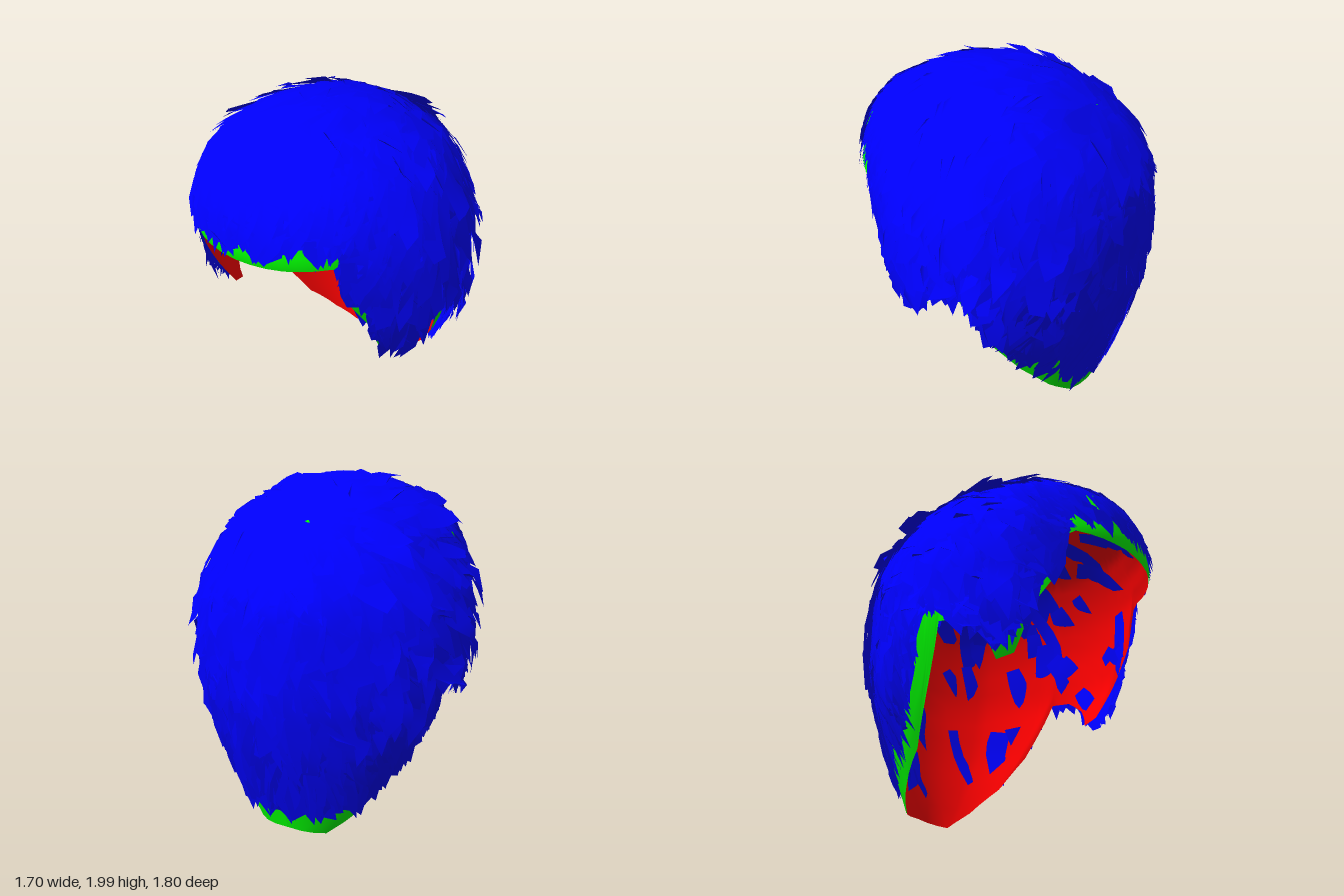
import * as THREE from 'three';

// Head cross-sections: height, half width, centre z, half depth
const ROWS = [
  [0, .27, -.40, .20], [.1, .36, -.35, .27], [.25, .45, -.26, .41], [.5, .59, -.13, .61],
  [.7, .66, -.06, .72], [.9, .72, -.02, .80], [1.2, .73, .01, .83], [1.4, .70, .04, .85],
  [1.55, .65, .07, .80], [1.7, .58, .09, .71], [1.77, .51, .10, .64], [1.82, .45, .10, .54],
  [1.9, .30, .07, .37], [1.94, .14, .04, .18], [1.955, .001, .03, .001],
];
// Hairline: degrees from the front, height
const HAIRLINE = [
  [0, 1.35], [22, 1.355], [42, 1.37], [45, 1.34], [46, 1.1], [54, .92], [57, .68], [64, .65],
  [73, .78], [83, .87], [91, .88], [95, .5], [98, .28], [112, .12], [130, .01], [180, .03],
];
const ROUND = 2.1; // superellipse exponent of the sections
const TOP = ROWS[ROWS.length - 1][0];
const CENTRE = new THREE.Vector3(0, 1.15, 0);
const CROWN = new THREE.Vector3(-.08, 1.78, -.46);
const DOWN = new THREE.Vector3(0, -1, 0);
const { lerp, clamp, smoothstep, degToRad, radToDeg } = THREE.MathUtils;

let seed = 7;
const rand = (a = 0, b = 1) => {
  seed = (seed * 1664525 + 1013904223) % 4294967296;
  return a + (b - a) * seed / 4294967296;
};
const signedPow = (v, e) => Math.sign(v) * Math.abs(v) ** e;

// Linear lookup in a table sorted by its first column
function lookup(table, x) {
  let i = 0;
  while (i < table.length - 2 && x > table[i + 1][0]) i++;
  const t = clamp((x - table[i][0]) / (table[i + 1][0] - table[i][0]), 0, 1);
  return table[i].map((v, k) => lerp(v, table[i + 1][k], t));
}
const hairlineAt = (deg) => lookup(HAIRLINE, Math.abs(deg))[1];

// Lowest height for hair: close over the ears, clear of the slanted edges beside them
function hairFloor(p) {
  const [, w, zc, d] = lookup(ROWS, p.y), e = ROUND / 2;
  const deg = Math.abs(radToDeg(Math.atan2(signedPow(p.x / w, e), signedPow((p.z - zc) / d, e))));
  if (deg > 91) return Math.max(hairlineAt(deg - Math.min(deg - 91, 6)), hairlineAt(deg) + .08);
  return hairlineAt(deg) - (deg > 66 ? .04 : 0);
}

// Pushes a point along its ray from the centre onto the head surface
function snap(p) {
  const dir = p.clone().sub(CENTRE).normalize();
  const q = new THREE.Vector3();
  let lo = 0, hi = 1.6;
  for (let i = 0; i < 22; i++) {
    const mid = (lo + hi) / 2;
    q.copy(CENTRE).addScaledVector(dir, mid);
    const [, w, zc, d] = lookup(ROWS, q.y);
    if (q.y < TOP && Math.abs(q.x / w) ** ROUND + Math.abs((q.z - zc) / d) ** ROUND < 1) lo = mid;
    else hi = mid;
  }
  return q;
}

function geometryFrom(pos, index) {
  const g = new THREE.BufferGeometry();
  g.setAttribute('position', new THREE.Float32BufferAttribute(pos, 3));
  g.setIndex(index);
  g.computeVertexNormals();
  return g;
}

// Cap shell from the hairline to the top of the head
function shell(inset, inward) {
  const half = [];
  for (let i = 0; i < HAIRLINE.length - 1; i++)
    for (let k = 0; k < 3; k++) half.push(lerp(HAIRLINE[i][0], HAIRLINE[i + 1][0], k / 3));
  const angles = [-180, ...half.slice(1).reverse().map((a) => -a), ...half, 180];
  const N = 24, pos = [], index = [];
  angles.forEach((deg, i) => {
    const a = degToRad(deg), y0 = hairlineAt(deg);
    const sx = signedPow(Math.sin(a), 2 / ROUND), cz = signedPow(Math.cos(a), 2 / ROUND);
    for (let j = 0; j <= N; j++) {
      // rows crowd towards the top, where the surface flattens
      const y = y0 + (TOP - y0) * Math.sin(j / N * Math.PI / 2);
      const [, w, zc, d] = lookup(ROWS, y);
      const s = inset * Math.min(1, j / 2 + .15);
      pos.push(Math.max(w - s, 0) * sx, y - s * j / N, zc + Math.max(d - s, 0) * cz);
      if (i && j) {
        const p = (i - 1) * (N + 1) + j - 1, q = p + N + 1;
        if (inward) index.push(p, q + 1, q, p, p + 1, q + 1);
        else index.push(p, q, q + 1, p, q + 1, p + 1);
      }
    }
  });
  return geometryFrom(pos, index);
}

// Follows the hair flow away from the crown, stopping above the hairline
function strand(start, steps, step, margin, twist) {
  const pts = [start];
  for (let i = 0; i < steps; i++) {
    const p = pts[i], n = p.clone().sub(CENTRE).normalize();
    const dir = p.clone().sub(CROWN).normalize();
    const fall = clamp((1.8 - p.y) * 1.2, 0, .9);
    dir.addScaledVector(DOWN, fall).projectOnPlane(n).normalize().applyAxisAngle(n, twist);
    const q = snap(p.clone().addScaledVector(dir, step));
    if (q.y < hairFloor(q) + margin) break;
    pts.push(q);
  }
  return pts;
}

function hairCards(count, crownCount) {
  const pos = [], index = [];
  for (let c = -crownCount; c < count; c++) {
    // even spiral of roots, after a ring around the crown
    const y = 1 - 2 * (c + .5) / count, a = c * 2.39996, r = Math.sqrt(Math.max(0, 1 - y * y));
    const spoke = new THREE.Vector3(Math.sin(a), 0, Math.cos(a));
    const start = snap(c < 0
      ? spoke.setY(.3 * spoke.z).multiplyScalar(rand(.01, .1)).add(CROWN)
      : spoke.multiplyScalar(r).setY(y).add(CENTRE));
    if (start.y < hairFloor(start) + .07) continue;
    const pts = strand(start, 4, rand(.07, .12), rand(.03, .08), rand(-.45, .45));
    if (pts.length < 2) continue;

    const last = pts.length - 1, width = rand(.04, .08);
    const sunk = rand() < .07, lift0 = sunk ? -.03 : rand(.01, .032);
    // loose tips flare out at ear height, and lie flatter on top, forehead and nape
    const flare = rand(.01, .05) + (rand() < .25 ? .05 : 0);
    const skew = rand(-.07, .07), base = pos.length / 3;
    pts.forEach((p, i) => {
      const t = i / last, n = p.clone().sub(CENTRE).normalize();
      const dir = pts[Math.min(i + 1, last)].clone().sub(pts[Math.max(i - 1, 0)]).normalize();
      const side = n.clone().cross(dir).normalize();
      const half = width * (i === last ? .6 : .8 + .3 * Math.sin(t * Math.PI));
      const flat = Math.max(.5 * smoothstep(p.y, 1.55, 1.9), smoothstep(p.z, .25, .6),
        .6 * smoothstep(-p.z, .4, .7), .9 * smoothstep(-p.y, -.8, -.45));
      const lift = lift0 * (1 - .4 * smoothstep(p.z, .4, .7)) + flare * t * t * (1 - flat);
      for (const s of [-1, 1]) {
        const v = p.clone().addScaledVector(side, s * half).addScaledVector(n, lift);
        if (i === last) v.addScaledVector(dir, s * skew);
        pos.push(v.x, clamp(v.y, .03, 2), v.z);
      }
      if (i) {
        const k = base + i * 2;
        index.push(k - 2, k, k + 1, k - 2, k + 1, k - 1);
      }
    });
  }
  return geometryFrom(pos, index);
}

export function createModel() {
  seed = 7;
  const group = new THREE.Group();
  group.name = 'wig';
  const add = (name, geometry, color, side = THREE.FrontSide) => {
    const mesh = new THREE.Mesh(geometry, new THREE.MeshStandardMaterial({ color, side }));
    mesh.name = name;
    group.add(mesh);
  };
  add('cap', shell(0, false), 0x00ff00);
  add('lining', shell(.015, true), 0xff0000);
  add('hairCards', hairCards(2200, 80), 0x0000ff, THREE.DoubleSide);
  return group;
}
